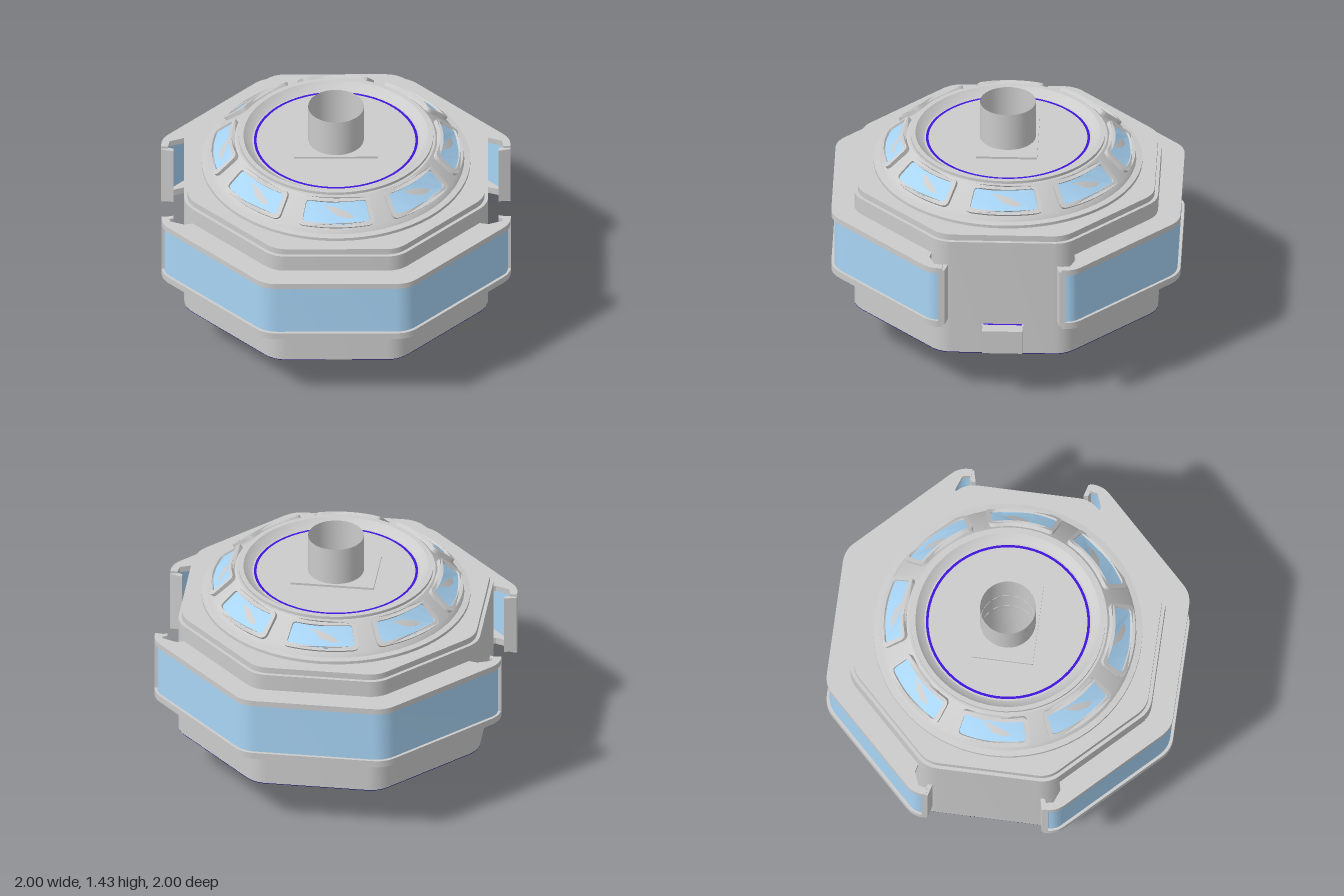
import * as THREE from 'three';
import { toCreasedNormals } from 'three/addons/utils/BufferGeometryUtils.js';

const mat = (color) => new THREE.MeshStandardMaterial({ color, side: THREE.DoubleSide });
const grey = mat(0xcccccc), glass = mat(0xa8d4f5), blue = mat(0x3f14dc), navy = mat(0x0c0670);
const T = Math.tan(Math.PI / 8);

function add(parent, name, geometry, material = grey) {
  const mesh = new THREE.Mesh(toCreasedNormals(geometry, 0.45), material);
  mesh.name = name;
  parent.add(mesh);
  return mesh;
}

// Closed outline from [x, y, cornerCut] points, with rounded corners where a cut is given
function outline(points) {
  const shape = new THREE.Shape();
  const n = points.length;
  points.forEach(([x, y, cut = 0], i) => {
    const p = new THREE.Vector2(x, y);
    const towards = (q) => new THREE.Vector2(q[0], q[1]).sub(p).setLength(cut).add(p);
    const a = towards(points[(i + n - 1) % n]), b = towards(points[(i + 1) % n]);
    if (i === 0) shape.moveTo(a.x, a.y); else shape.lineTo(a.x, a.y);
    if (cut) shape.quadraticCurveTo(x, y, b.x, b.y);
  });
  shape.closePath();
  return shape;
}

function octagon(apothem, cut = 0.07) {
  const r = apothem / Math.cos(Math.PI / 8);
  return outline(Array.from({ length: 8 }, (_, i) => {
    const a = (i + 0.5) * Math.PI / 4;
    return [r * Math.cos(a), r * Math.sin(a), cut];
  }));
}

const mirrored = (half) => outline([...half, ...half.map(([x, y, c]) => [-x, y, c]).reverse()]);

function withHole(shape, radius) {
  shape.holes.push(new THREE.Path().absarc(0, 0, radius, 0, Math.PI * 2, true));
  return shape;
}

// Extrude a plan (x, z) upright between two heights
function slab(shape, y0, y1) {
  const g = new THREE.ExtrudeGeometry(shape, { depth: y1 - y0, bevelEnabled: false, curveSegments: 8 });
  return g.rotateX(Math.PI / 2).translate(0, y1, 0);
}

// Rounded rectangle with finely divided edges, so that it can be bent
function dividedRect(w, h, r) {
  const s = outline([[-w, -h, r], [w, -h, r], [w, h, r], [-w, h, r]]);
  const pts = [];
  for (const c of s.curves) {
    const n = c.isLineCurve ? Math.max(1, Math.ceil(c.getLength() / 0.03)) : 4;
    for (let i = 0; i < n; i++) pts.push(c.getPoint(i / n));
  }
  return pts;
}

// Bend a flat plate (x = arc, y = slope, z = depth) onto the conical roof
function bendToRoof(g) {
  const p = g.attributes.position;
  for (let i = 0; i < p.count; i++) {
    const angle = p.getX(i) / 0.655, v = p.getY(i), d = p.getZ(i);
    const r = 0.65 - 0.747 * v + 0.66 * d;
    p.setXYZ(i, r * Math.sin(angle), 1.145 + 0.66 * v + 0.747 * d, r * Math.cos(angle));
  }
  return g;
}

function roofWindow() {
  const group = new THREE.Group();
  group.name = 'roofWindow';
  const frame = new THREE.Shape(dividedRect(0.207, 0.088, 0.035));
  frame.holes.push(new THREE.Path(dividedRect(0.183, 0.064, 0.022).reverse()));
  const plate = (s, depth) => bendToRoof(
    new THREE.ExtrudeGeometry(s, { depth, bevelEnabled: false }).translate(0, 0, -0.005));
  add(group, 'roofWindowFrame', plate(frame, 0.026));
  add(group, 'roofWindowGlass', plate(new THREE.Shape(dividedRect(0.188, 0.069, 0.022)), 0.014), glass);
  return group;
}

// Wide wrap-around window covering three sides of the octagon
function windowBand() {
  const group = new THREE.Group();
  group.name = 'windowBand';
  const flange = mirrored([[0.35, 0.8], [0.78, 0.4], [0.87, 0.42], [0.95, 0.39], [0.96, 0.34],
    [1, 0.34], [1, T, 0.06], [T, 1, 0.07]]);
  add(group, 'lowerFlange', slab(flange, 0.51, 0.55));
  add(group, 'upperFlange', slab(flange, 0.865, 0.9));
  const pane = mirrored([[0.96 * T, 0.96, 0.06], [0.96, 0.96 * T, 0.03], [0.96, 0.35],
    [0.983, 0.35], [0.983, 0.983 * T, 0.04], [0.983 * T, 0.983, 0.07]]);
  add(group, 'bandGlass', slab(pane, 0.55, 0.865), glass);
  for (const s of [1, -1]) {
    const hook = outline([[0.93, 0.312], [1, 0.33], [1, 0.365], [0.96, 0.365], [0.96, 0.35], [0.93, 0.337]]
      .map(([x, z]) => [s * x, z]));
    add(group, 'endPost', slab(hook, 0.525, 0.885));
  }
  return group;
}

export function createModel() {
  const model = new THREE.Group();

  // Octagonal body and its shoulder
  add(model, 'body', slab(withHole(octagon(0.87), 0.16), 0.272, 1.0));
  add(model, 'underside', slab(withHole(octagon(0.869), 0.16), 0.268, 0.272), navy);
  add(model, 'shoulder', slab(withHole(octagon(0.85), 0.16), 1.0, 1.037));

  // Round conical roof with a rim around a shallow recess
  const profile = [[0.77, 1.03], [0.77, 1.055], [0.735, 1.06], [0.72, 1.085], [0.57, 1.208], [0.557, 1.208],
    [0.557, 1.225], [0.53, 1.225], [0.505, 1.2], [0.48, 1.187], [0.16, 1.187]];
  add(model, 'roof', new THREE.LatheGeometry(profile.map(([r, y]) => new THREE.Vector2(r, y)), 64));
  add(model, 'recessRing', new THREE.RingGeometry(0.455, 0.47, 64).rotateX(-Math.PI / 2).translate(0, 1.19, 0), blue);
  for (let i = 0; i < 8; i++) {
    const w = roofWindow();
    w.rotation.y = i * Math.PI / 4;
    model.add(w);
  }

  // Front and back window bands
  for (const turn of [0, Math.PI]) {
    const band = windowBand();
    band.rotation.y = turn;
    model.add(band);
  }

  // Central open pipe with a mounting plate at each end
  add(model, 'pipe', new THREE.CylinderGeometry(0.16, 0.16, 1.43, 40, 1, true).translate(0, 0.715, 0));
  const plate = () => withHole(outline([[-0.24, -0.175], [0.24, -0.175], [0.24, 0.175], [-0.24, 0.175]]), 0.16);
  add(model, 'lowerPlate', slab(plate(), 0.255, 0.268));
  add(model, 'upperPlate', slab(plate(), 1.187, 1.2));

  // Small box on the left side, with a curved backing
  const backing = outline([[-0.12, 0.325], [-0.06, 0.315], [0, 0.278, 0.06], [0.06, 0.315], [0.12, 0.325],
    [0.12, 0.46], [-0.12, 0.46]]);
  add(model, 'boxBacking', new THREE.ExtrudeGeometry(backing, { depth: 0.025, bevelEnabled: false })
    .rotateY(Math.PI / 2).translate(0.865, 0, 0));
  add(model, 'sideBox', new THREE.BoxGeometry(0.075, 0.145, 0.23).translate(0.926, 0.393, 0));
  add(model, 'boxSeam', new THREE.BoxGeometry(0.016, 0.004, 0.22).translate(0.88, 0.461, 0), blue);

  return model;
}
